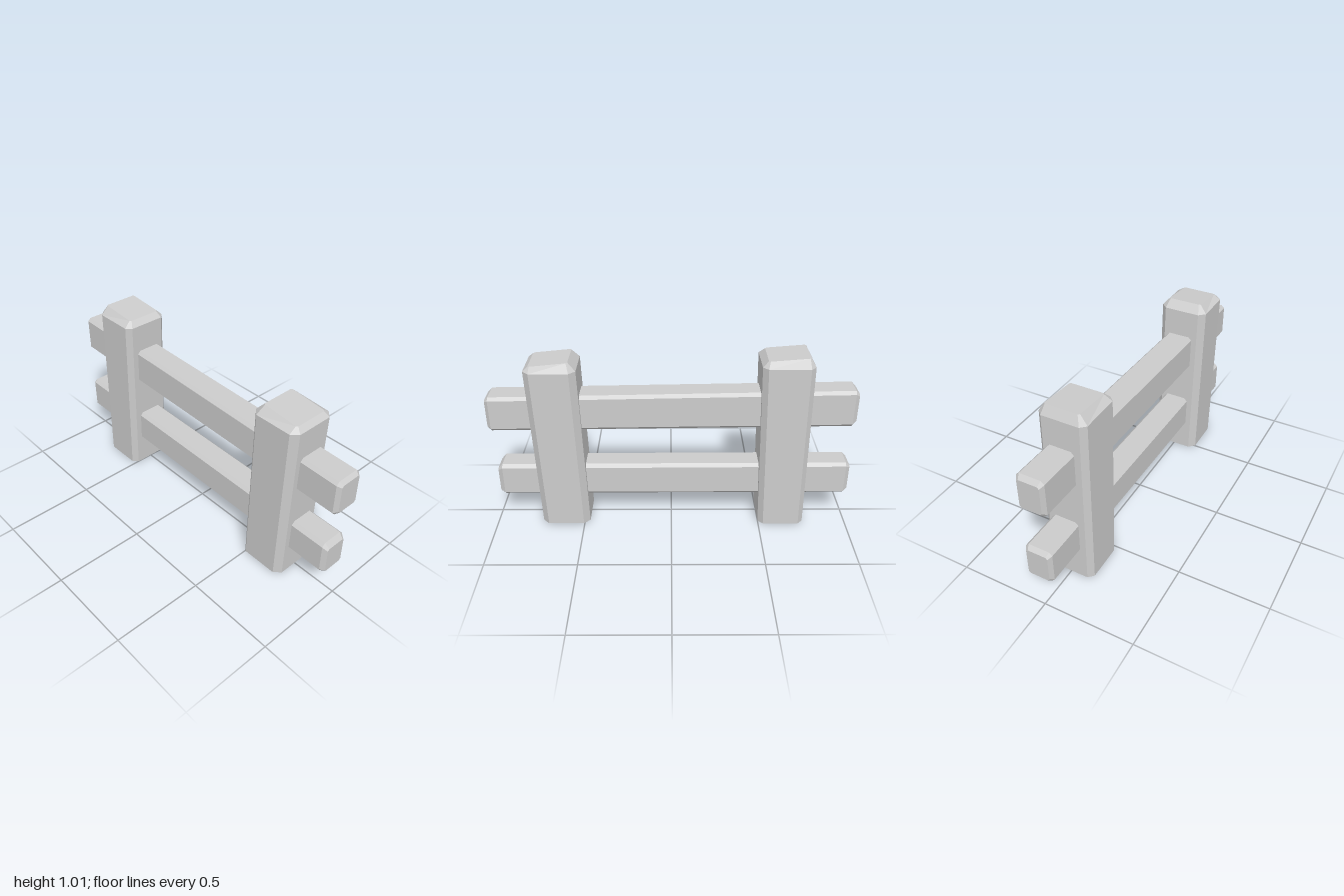
import * as THREE from 'three';

// Rectangle with cut corners, counter-clockwise in (u, v); w may slope along u.
function ring([w, u0, u1, v0, v1, c, slope = 0]) {
  const mid = (u0 + u1) / 2;
  return [
    [u0 + c, v0], [u1 - c, v0], [u1, v0 + c], [u1, v1 - c],
    [u1 - c, v1], [u0 + c, v1], [u0, v1 - c], [u0, v0 + c],
  ].map(([u, v]) => [u, v, w + slope * (u - mid)]);
}

// Closed faceted beam through sections listed along +w; place maps (u, v, w) to (x, y, z).
function beam(sections, place) {
  const rings = sections.map(ring);
  const pos = [];
  const tri = (...pts) => pts.forEach((p) => pos.push(...place(p)));
  for (let r = 0; r < rings.length - 1; r++) {
    for (let i = 0; i < 8; i++) {
      const j = (i + 1) % 8;
      const a = rings[r], b = rings[r + 1];
      tri(a[i], a[j], b[j]);
      tri(a[i], b[j], b[i]);
    }
  }
  const first = rings[0], last = rings[rings.length - 1];
  for (let i = 1; i < 7; i++) {
    tri(first[0], first[i + 1], first[i]);
    tri(last[0], last[i], last[i + 1]);
  }
  const g = new THREE.BufferGeometry();
  g.setAttribute('position', new THREE.Float32BufferAttribute(pos, 3));
  g.computeVertexNormals();
  return g;
}

const upright = ([u, v, w]) => [v, w, u]; // u = z, v = x, w = y
const lengthwise = ([u, v, w]) => [u, v, w]; // u = x, v = y, w = z

export function createModel() {
  const group = new THREE.Group();
  const grey = new THREE.MeshStandardMaterial({ color: 0xcccccc });
  grey.name = 'plain grey';

  const add = (name, sections, place) => {
    const mesh = new THREE.Mesh(beam(sections, place), grey);
    mesh.name = name;
    group.add(mesh);
  };

  // Leaning posts with bevelled, slightly tilted tops
  add('frontPost', [
    [0, 0.47, 0.74, -0.135, 0.135, 0.034],
    [0.94, 0.495, 0.77, -0.142, 0.13, 0.034],
    [0.975, 0.535, 0.742, -0.1, 0.092, 0.008, -0.1],
  ], upright);
  add('backPost', [
    [0, -0.757, -0.5, -0.125, 0.14, 0.028],
    [0.966, -0.745, -0.47, -0.125, 0.135, 0.028],
    [1.006, -0.718, -0.5, -0.085, 0.105, 0.008, -0.08],
  ], upright);

  // Rails rising gently toward the back, with bevelled ends
  add('upperRail', [
    [-1.0, -0.045, 0.075, 0.63, 0.795, 0.01],
    [-0.978, -0.06, 0.09, 0.606, 0.817, 0.017],
    [0.98, -0.08, 0.078, 0.575, 0.775, 0.017],
    [1.0, -0.062, 0.062, 0.592, 0.757, 0.01],
  ], lengthwise);
  add('lowerRail', [
    [-1.0, -0.045, 0.075, 0.195, 0.352, 0.01],
    [-0.978, -0.06, 0.09, 0.175, 0.372, 0.017],
    [0.95, -0.075, 0.076, 0.16, 0.356, 0.019],
    [0.976, -0.06, 0.06, 0.176, 0.328, 0.01],
  ], lengthwise);

  return group;
}
